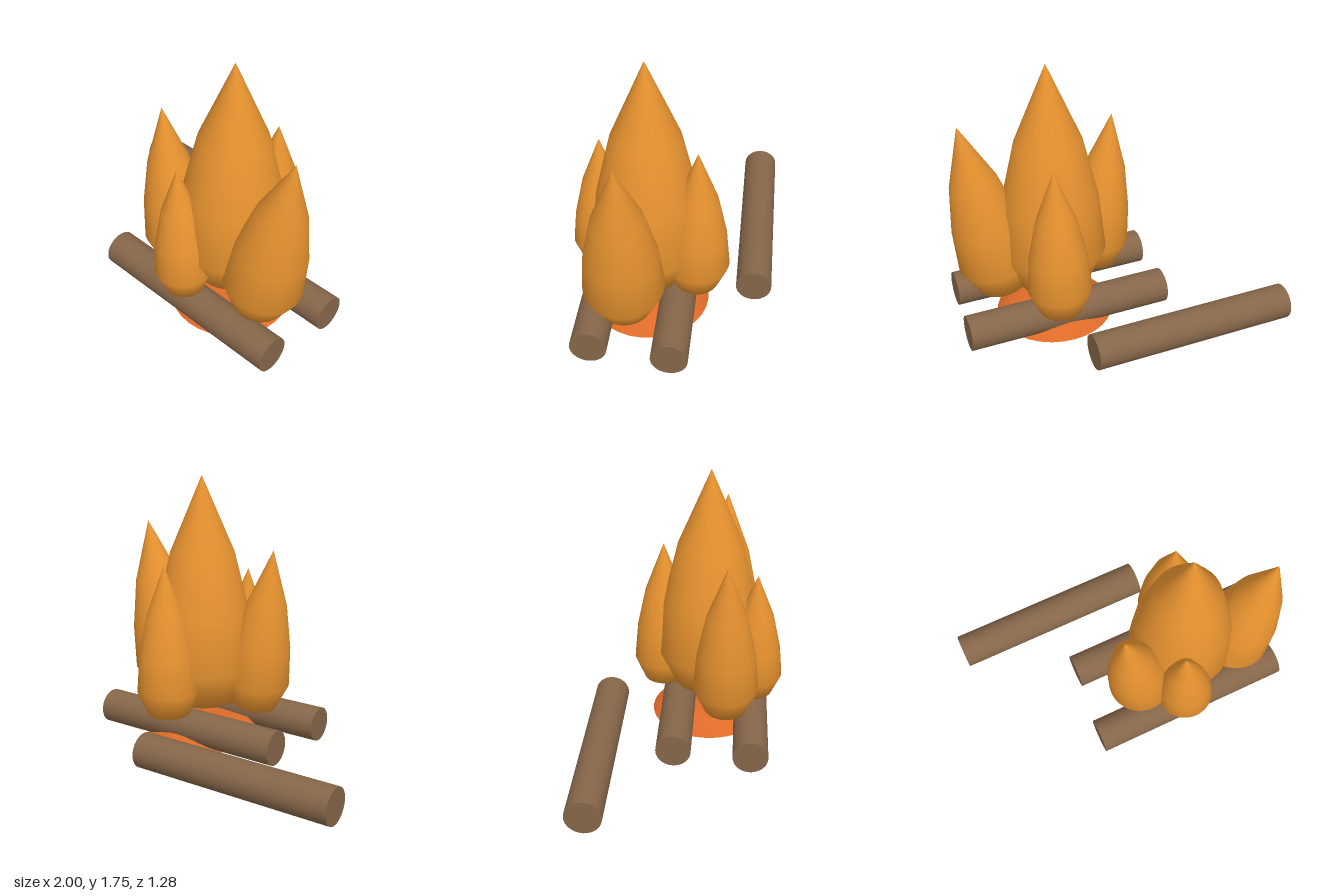
import * as THREE from 'three';

export function createModel() {
  const model = new THREE.Group();
  model.name = 'campfire';

  const flameOrange = new THREE.MeshStandardMaterial({ color: 0xe8932f });
  flameOrange.name = 'flame orange';
  const emberOrange = new THREE.MeshStandardMaterial({ color: 0xde6b28 });
  emberOrange.name = 'ember orange';
  const barkBrown = new THREE.MeshStandardMaterial({ color: 0x866649 });
  barkBrown.name = 'bark brown';

  const add = (name, geometry, material, x, y, z) => {
    const mesh = new THREE.Mesh(geometry, material);
    mesh.name = name;
    mesh.position.set(x, y, z);
    model.add(mesh);
    return mesh;
  };

  // Three parallel logs lying along x
  const logRadius = 0.113;
  const logLength = 1.338;
  const logGeometry = new THREE.CylinderGeometry(logRadius, logRadius, logLength, 32).rotateZ(Math.PI / 2);
  [
    ['backLog', -0.331, -0.527],
    ['middleLog', 0.331, -0.055],
    ['frontLog', 0.29, 0.437],
  ].forEach(([name, x, z]) => add(name, logGeometry, barkBrown, x, logRadius, z));

  // Low ember mound with a flat underside
  const moundProfile = [[0.386, 0], [0.3, 0.09], [0.17, 0.105], [0, 0.113]]
    .map(([r, y]) => new THREE.Vector2(r, y));
  add('emberMound', new THREE.LatheGeometry(moundProfile, 32), emberOrange, 0.357, 0, 0.145);
  add('emberBase', new THREE.CircleGeometry(0.386, 32).rotateX(Math.PI / 2), emberOrange, 0.357, 0, 0.145);

  // Teardrop flames: one shared profile, scaled in width and height, then leaned sideways
  const flameProfile = [[0, 0], [0.68, 0.035], [1, 0.19], [0.89, 0.42], [0.61, 0.68], [0, 1]];
  const addFlame = (name, x, y, z, radius, height, lean) => {
    const points = flameProfile.map(([r, t]) => new THREE.Vector2(r * radius, t * height));
    const flame = add(name, new THREE.LatheGeometry(points, 32), flameOrange, x, y, z);
    flame.rotation.z = -lean;
  };
  addFlame('mainFlame', 0.357, 0.2, 0.145, 0.345, 1.55, 0);
  addFlame('leftFlame', 0.667, 0.19, 0.247, 0.248, 1.225, 0.18);
  addFlame('rightFlame', 0.032, 0.19, 0.266, 0.212, 1.114, -0.128);
  addFlame('frontFlame', 0.255, 0.197, 0.455, 0.183, 0.909, -0.06);
  addFlame('backFlame', 0.415, 0.187, -0.165, 0.203, 1.023, 0.02);

  return model;
}
